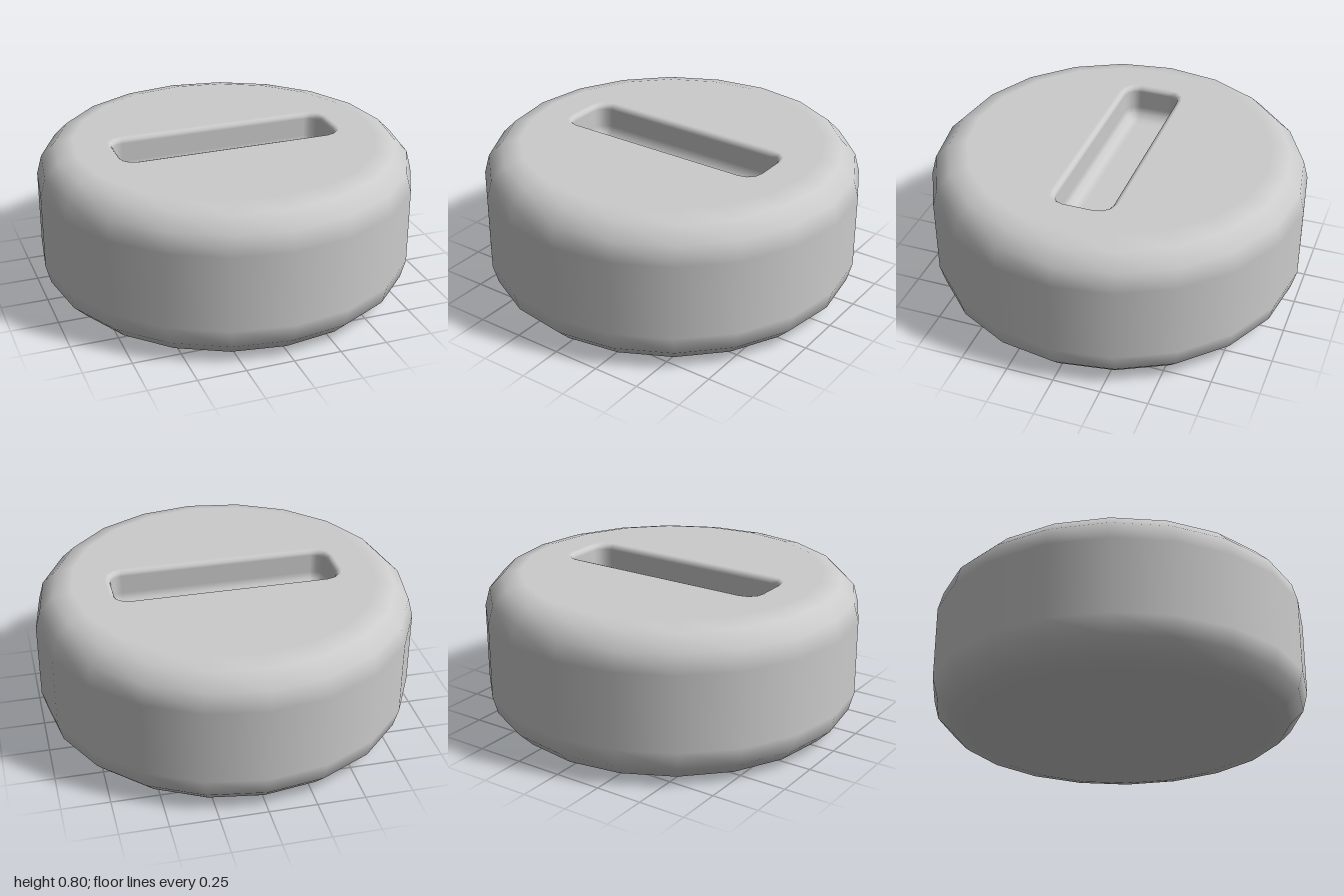
import * as THREE from 'three';

const SIDES = 20, HEIGHT = 0.8, BEVEL = 0.2, STEPS = 3;
const SLOT = { x: 0.52, z: 0.08, r: 0.07, lip: 0.03, depth: 0.2 }; // core half sizes, corner radius

const material = new THREE.MeshStandardMaterial({ color: 0xcccccc });

function addMesh(group, name, geometry) {
  const mesh = new THREE.Mesh(geometry, material);
  mesh.name = name;
  group.add(mesh);
  return mesh;
}

// Closed rounded-rectangle outline: position and outward direction of each point
function slotOutline(radius) {
  const points = [];
  [[1, 1], [-1, 1], [-1, -1], [1, -1]].forEach(([sx, sz], corner) => {
    for (let i = 0; i <= STEPS; i++) {
      const a = (corner + i / STEPS) * Math.PI / 2;
      const u = Math.cos(a), w = Math.sin(a);
      points.push({ x: sx * SLOT.x + radius * u, z: sz * SLOT.z + radius * w, u, w });
    }
  });
  return points;
}

// Twenty-sided drum with rounded upper and lower edges, open at the top
function bodyGeometry() {
  const core = 1 - BEVEL;
  const profile = [new THREE.Vector2(0, 0)];
  for (const [cy, start] of [[BEVEL, -Math.PI / 2], [HEIGHT - BEVEL, 0]]) {
    for (let i = 0; i <= STEPS; i++) {
      const a = start + i / STEPS * Math.PI / 2;
      profile.push(new THREE.Vector2(core + BEVEL * Math.cos(a), cy + BEVEL * Math.sin(a)));
    }
  }
  const geometry = new THREE.LatheGeometry(profile, SIDES);
  // Normals follow the rounding so that the flat base stays flat
  const normal = geometry.attributes.normal;
  for (let i = 0; i < normal.count; i++) {
    const p = profile[i % profile.length];
    const a = Math.floor(i / profile.length) / SIDES * Math.PI * 2;
    const out = Math.max(0, p.x - core) / BEVEL;
    const up = (p.y - THREE.MathUtils.clamp(p.y, BEVEL, HEIGHT - BEVEL)) / BEVEL;
    normal.setXYZ(i, out * Math.sin(a), up, out * Math.cos(a));
  }
  return geometry;
}

// Flat top with the slot opening cut out
function topGeometry() {
  const rim = [];
  for (let i = 0; i < SIDES; i++) {
    const a = i / SIDES * Math.PI * 2;
    rim.push(new THREE.Vector2((1 - BEVEL) * Math.cos(a), (1 - BEVEL) * Math.sin(a)));
  }
  const shape = new THREE.Shape(rim);
  const hole = slotOutline(SLOT.r + SLOT.lip).map(p => new THREE.Vector2(p.x, p.z));
  shape.holes.push(new THREE.Path(hole));
  return new THREE.ShapeGeometry(shape).rotateX(-Math.PI / 2);
}

// Slot wall: rounded lip, straight side, rounded foot
function slotWallGeometry() {
  const rings = [];
  for (let i = 0; i <= STEPS; i++) {
    const t = (1 - i / STEPS) * Math.PI / 2;
    rings.push({ t, r: SLOT.r + SLOT.lip * (1 - Math.cos(t)), y: HEIGHT - SLOT.lip * (1 - Math.sin(t)) });
  }
  for (let i = 0; i <= STEPS; i++) {
    const t = i / STEPS * Math.PI / 2;
    rings.push({ t, r: SLOT.r * Math.cos(t), y: HEIGHT - SLOT.depth + SLOT.r * (1 - Math.sin(t)) });
  }
  const positions = [], normals = [], index = [];
  const count = slotOutline(0).length;
  rings.forEach(({ t, r, y }, k) => {
    slotOutline(r).forEach((p, i) => {
      positions.push(p.x, y, p.z);
      normals.push(-p.u * Math.cos(t), Math.sin(t), -p.w * Math.cos(t));
      if (k === rings.length - 1) return;
      const a = k * count + i, b = k * count + (i + 1) % count;
      index.push(a, a + count, b, b, a + count, b + count);
    });
  });
  const geometry = new THREE.BufferGeometry();
  geometry.setAttribute('position', new THREE.Float32BufferAttribute(positions, 3));
  geometry.setAttribute('normal', new THREE.Float32BufferAttribute(normals, 3));
  geometry.setIndex(index);
  return geometry;
}

export function createModel() {
  const group = new THREE.Group();
  group.name = 'slottedDisc';
  addMesh(group, 'body', bodyGeometry());
  addMesh(group, 'topFace', topGeometry()).position.y = HEIGHT;
  addMesh(group, 'slotWall', slotWallGeometry());
  const floor = new THREE.PlaneGeometry(SLOT.x * 2, SLOT.z * 2).rotateX(-Math.PI / 2);
  addMesh(group, 'slotFloor', floor).position.y = HEIGHT - SLOT.depth;
  return group;
}
